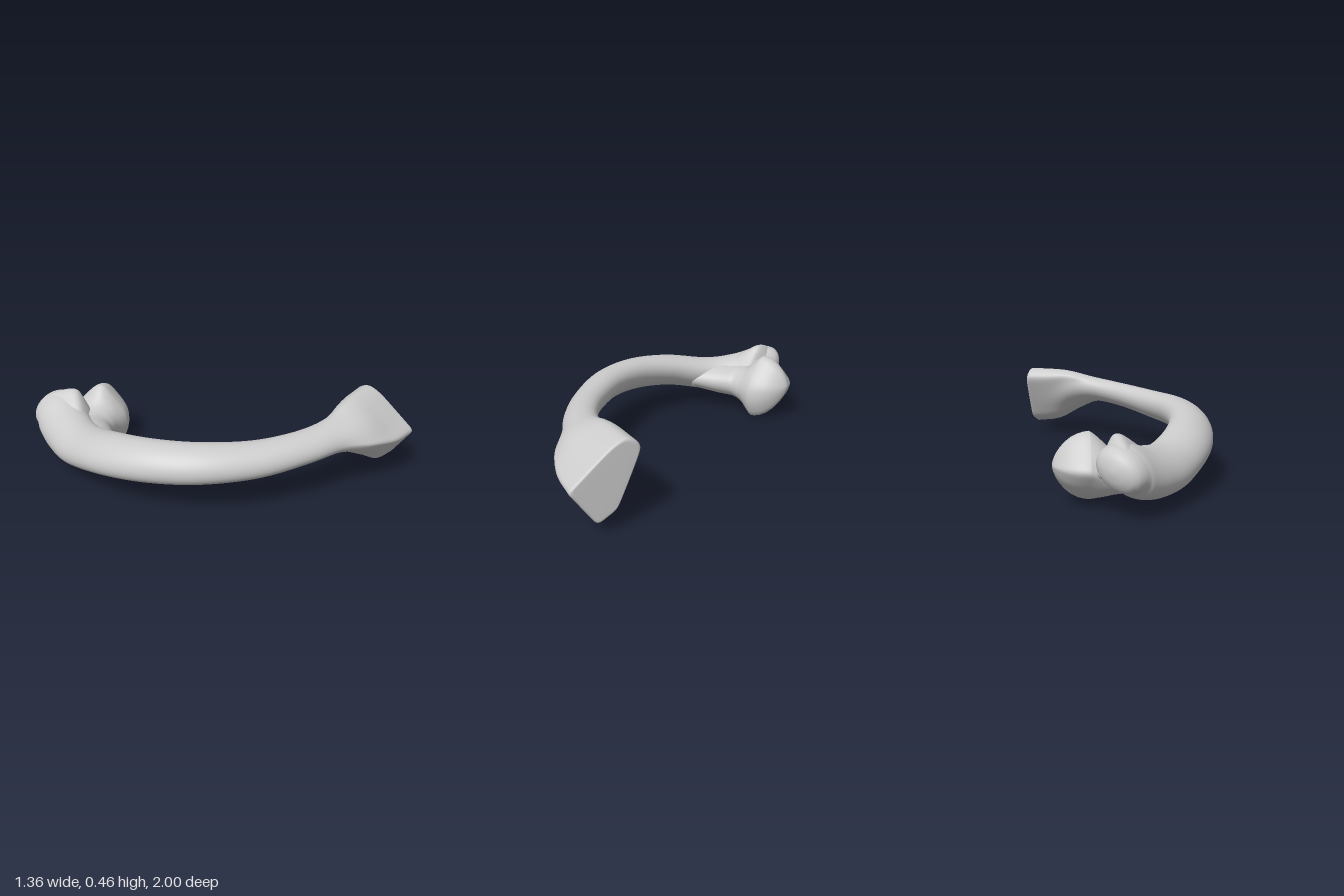
import * as THREE from 'three';

const material = new THREE.MeshStandardMaterial({ color: 0xcccccc });

// Shaft stations, back to front: x, y, z, half width, half height, share of end outline
const shaftStations = [
  [-0.333, 0.24, -0.91, 0.133, 0.108, 0],
  [-0.358, 0.215, -0.84, 0.147, 0.13, 0],
  [-0.425, 0.18, -0.71, 0.142, 0.122, 0],
  [-0.495, 0.178, -0.54, 0.135, 0.11, 0],
  [-0.553, 0.235, -0.27, 0.13, 0.104, 0],
  [-0.53, 0.27, 0.00, 0.12, 0.102, 0],
  [-0.42, 0.285, 0.25, 0.113, 0.096, 0],
  [-0.22, 0.29, 0.47, 0.102, 0.087, 0],
  [0.00, 0.31, 0.625, 0.095, 0.077, 0],
  [0.20, 0.325, 0.715, 0.102, 0.077, 0.04],
  [0.35, 0.31, 0.765, 0.133, 0.086, 0.4],
  [0.50, 0.273, 0.79, 0.14, 0.10, 0.85],
  [0.65, 0.26, 0.80, 0.12, 0.10, 1],
];

// Branch stations, from inside the shaft to the inner knob
const branchStations = [
  [-0.52, 0.18, -0.46, 0.13, 0.075, 0],
  [-0.41, 0.17, -0.58, 0.15, 0.095, 0],
  [-0.31, 0.16, -0.665, 0.14, 0.10, 0],
  [-0.22, 0.165, -0.70, 0.14, 0.11, 0.2],
  [-0.125, 0.20, -0.73, 0.15, 0.15, 1],
];

// Convex end outlines: outward, up
const flareOutline = [[0.207, -0.01], [-0.03, 0.175], [-0.10, 0.203], [-0.16, 0.178],
  [-0.187, 0.125], [-0.115, -0.01], [-0.052, -0.15], [0.07, -0.212]];
const knobOutline = [[0.185, -0.09], [0.17, 0.01], [0.03, 0.175], [-0.02, 0.175],
  [-0.185, 0.005], [-0.11, -0.11], [0.08, -0.215], [0.13, -0.215]];

// Rounded ends: ring scale and distance along the path
const rimCap = [[0.99, 0.009], [0.97, 0.015], [0.94, 0.018], [0.9, 0.019], [0.5, 0.019]];
const backCap = [[0.96, 0.025], [0.88, 0.046], [0.72, 0.064], [0.44, 0.077], [0.15, 0.083]];
const knobCap = [[0.98, 0.025], [0.93, 0.055], [0.83, 0.09], [0.69, 0.12], [0.52, 0.146],
  [0.34, 0.166], [0.16, 0.179], [0.05, 0.183]];

// Radius of a rounded convex outline at an angle
function outlineRadius(outline, angle, p) {
  const c = Math.cos(angle), s = Math.sin(angle);
  let sum = 0;
  outline.forEach(([x, y], i) => {
    const [x2, y2] = outline[(i + 1) % outline.length];
    const nx = y2 - y, ny = x - x2;
    sum += Math.max(0, (nx * c + ny * s) / (nx * x + ny * y)) ** p;
  });
  return sum ** (-1 / p);
}

// Surface through equal rings, closed by a centre point at both ends
function loft(rings) {
  const n = rings[0].length, positions = [], index = [];
  rings.forEach((ring) => ring.forEach((p) => positions.push(p.x, p.y, p.z)));
  for (let i = 0; i < rings.length - 1; i++) {
    for (let j = 0; j < n; j++) {
      const a = i * n + j, b = i * n + (j + 1) % n;
      index.push(a, a + n, b, b, a + n, b + n);
    }
  }
  [0, rings.length - 1].forEach((r) => {
    const centre = new THREE.Vector3();
    rings[r].forEach((p) => centre.addScaledVector(p, 1 / n));
    const m = positions.length / 3;
    positions.push(centre.x, centre.y, centre.z);
    for (let j = 0; j < n; j++) {
      const a = r * n + j, b = r * n + (j + 1) % n;
      index.push(...(r ? [a, m, b] : [a, b, m]));
    }
  });
  const geometry = new THREE.BufferGeometry();
  geometry.setAttribute('position', new THREE.Float32BufferAttribute(positions, 3));
  geometry.setIndex(index);
  geometry.computeVertexNormals();
  return geometry;
}

// Oval tube through the stations that turns into the outline at its end.
// lean tips the ovals outward, slant tips the end outline along the path.
function sweep(stations, { outline, roundness, startCap, endCap, lean, slant, steps }) {
  const curve = (k) => new THREE.CatmullRomCurve3(
    stations.map((s) => new THREE.Vector3(s[k], s[k + 1], s[k + 2])), false, 'catmullrom');
  const path = curve(0), sizes = curve(3), sides = 96;
  const ringAt = (t, scale, push) => {
    const centre = path.getPoint(t), size = sizes.getPoint(t);
    const tangent = path.getTangent(t).setY(0).normalize();
    const w = THREE.MathUtils.clamp(size.z, 0, 1);
    return Array.from({ length: sides }, (_, j) => {
      const a = (j / sides) * Math.PI * 2, r = outlineRadius(outline, a, roundness);
      const u = Math.cos(a) * THREE.MathUtils.lerp(size.x, r, w) * scale;
      const v = Math.sin(a) * THREE.MathUtils.lerp(size.y, r, w) * scale - lean * (1 - w) * u;
      const along = push - slant * w * v;
      return new THREE.Vector3(centre.x - tangent.z * u + tangent.x * along,
        centre.y + v, centre.z + tangent.x * u + tangent.z * along);
    });
  };
  const rings = startCap.map(([s, d]) => ringAt(0, s, -d)).reverse();
  for (let i = 0; i <= steps; i++) rings.push(ringAt(i / steps, 1, 0));
  endCap.forEach(([s, d]) => rings.push(ringAt(1, s, d)));
  return loft(rings);
}

// Rounded lump: a sphere stretched smoothly over a few corner points around a centre
function lumpGeometry(corners, radius, sharpness) {
  const geometry = new THREE.SphereGeometry(1, 72, 48);
  const points = corners.map((c) => new THREE.Vector3(...c));
  const position = geometry.attributes.position;
  const d = new THREE.Vector3(), out = new THREE.Vector3();
  for (let i = 0; i < position.count; i++) {
    d.fromBufferAttribute(position, i).normalize();
    const dots = points.map((p) => p.dot(d)), top = Math.max(...dots);
    const weights = dots.map((v) => Math.exp((v - top) * sharpness));
    const total = weights.reduce((a, b) => a + b, 0);
    out.copy(d).multiplyScalar(radius);
    points.forEach((p, k) => out.addScaledVector(p, weights[k] / total));
    position.setXYZ(i, out.x, out.y, out.z);
  }
  geometry.computeVertexNormals();
  return geometry;
}

export function createModel() {
  const group = new THREE.Group();
  const add = (name, geometry) => {
    const mesh = new THREE.Mesh(geometry, material);
    mesh.name = name;
    group.add(mesh);
  };

  // Curved shaft with a rounded back and a slanted, flared front end
  add('curvedShaft', sweep(shaftStations, {
    outline: flareOutline, roundness: 20, startCap: backCap, endCap: rimCap,
    lean: 0.2, slant: 0.06, steps: 120,
  }));

  // Branch growing out of the shaft into the inner knob
  add('innerKnob', sweep(branchStations, {
    outline: knobOutline, roundness: 12, startCap: [], endCap: knobCap,
    lean: 0, slant: 0, steps: 40,
  }));

  // Raised bump on top of the back end
  add('backBump', lumpGeometry([
    [-0.285, 0.34, -0.79], [-0.31, 0.325, -0.86], [-0.35, 0.295, -0.92], [-0.45, 0.19, -0.74],
    [-0.43, 0.20, -0.87], [-0.25, 0.22, -0.89], [-0.27, 0.19, -0.70], [-0.37, 0.24, -0.68],
  ], 0.05, 45));

  return group;
}
